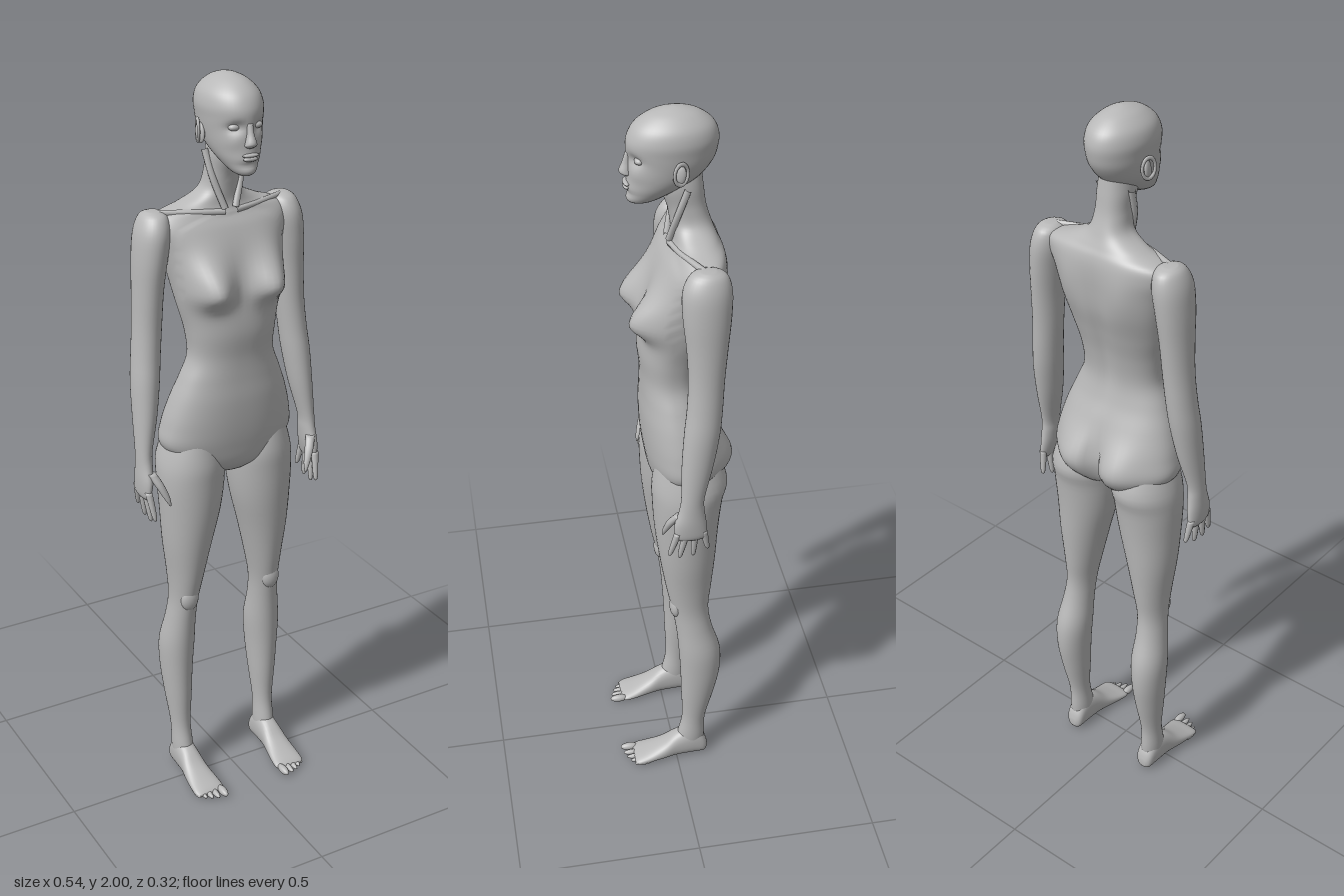
import * as THREE from 'three';

// Catmull-Rom blend of whole rows of numbers, so few rings give a smooth loft
function smoothRings(rows, steps) {
  const out = [];
  const row = i => rows[Math.min(rows.length - 1, Math.max(0, i))];
  for (let i = 0; i < rows.length - 1; i++) {
    for (let s = 0; s < steps; s++) {
      const t = s / steps, a = row(i - 1), b = row(i), c = row(i + 1), d = row(i + 2);
      out.push(b.map((v, k) => v + 0.5 * t * (c[k] - a[k] + t * (2 * a[k] - 5 * v + 4 * c[k] - d[k]
        + t * (3 * (v - c[k]) + d[k] - a[k])))));
    }
  }
  out.push(rows[rows.length - 1]);
  return out;
}

// Ring: [t, xInner, xOuter, bMax, bMin]. Upright: t = y, b = z. Along: t = z, b = y.
function loft(rows, { side = 1, along = false, segs = 32, steps = 4, round = 1, shape = null } = {}) {
  const rings = smoothRings(rows, steps), pos = [], idx = [];
  const put = (x, t, b) => {
    const p = along ? new THREE.Vector3(x, b, t) : new THREE.Vector3(x, t, b);
    if (shape) shape(p);
    pos.push(p.x * side, p.y, p.z);
  };
  const soft = v => Math.sign(v) * Math.pow(Math.abs(v), round);
  for (const [t, x0, x1, b1, b0] of rings) {
    for (let j = 0; j < segs; j++) {
      const a = j / segs * Math.PI * 2;
      put((x0 + x1) / 2 + soft(Math.cos(a)) * (x1 - x0) / 2, t, (b0 + b1) / 2 + soft(Math.sin(a)) * (b1 - b0) / 2);
    }
  }
  const rising = rows[rows.length - 1][0] > rows[0][0];
  const flip = (side < 0) !== along !== !rising;
  const tri = (a, b, c) => flip ? idx.push(a, c, b) : idx.push(a, b, c);
  const n = rings.length;
  for (let i = 0; i < n - 1; i++) {
    for (let j = 0; j < segs; j++) {
      const p = i * segs + j, q = i * segs + (j + 1) % segs;
      tri(p, p + segs, q);
      tri(q, p + segs, q + segs);
    }
  }
  // closed ends
  for (const i of [0, n - 1]) {
    const [t, x0, x1, b1, b0] = rings[i], c = pos.length / 3;
    put((x0 + x1) / 2, t, (b0 + b1) / 2);
    for (let j = 0; j < segs; j++) {
      const p = i * segs + j, q = i * segs + (j + 1) % segs;
      if (i === 0) tri(c, p, q); else tri(c, q, p);
    }
  }
  const g = new THREE.BufferGeometry();
  g.setAttribute('position', new THREE.Float32BufferAttribute(pos, 3));
  g.setIndex(idx);
  g.computeVertexNormals();
  return g;
}

const bump = (dx, sx, dy, sy) => Math.exp(-((dx / sx) ** 2) - (dy / sy) ** 2);
const centred = rows => rows.map(([y, r, f, b]) => [y, -r, r, f, b]);

export function createModel() {
  const model = new THREE.Group();
  const skin = new THREE.MeshStandardMaterial({ color: 0xb8b8b8 });
  skin.name = 'grey skin';
  const add = (name, geo, parent = model) => {
    const m = new THREE.Mesh(geo, skin);
    m.name = name;
    parent.add(m);
    return m;
  };
  const ball = (name, x, y, z, rx, ry, rz, parent) => {
    const m = add(name, new THREE.SphereGeometry(1, 20, 14), parent);
    m.position.set(x, y, z);
    m.scale.set(rx, ry, rz);
    return m;
  };
  const tube = (name, pts, r, parent) =>
    add(name, new THREE.TubeGeometry(new THREE.CatmullRomCurve3(pts.map(p => new THREE.Vector3(...p))), 16, r, 8), parent);

  // torso and neck: half width, front, back
  add('torso', loft(centred([
    [0.955, 0.05, 0.025, -0.06], [0.985, 0.125, 0.052, -0.105], [1.04, 0.184, 0.064, -0.128],
    [1.1, 0.182, 0.071, -0.122], [1.17, 0.163, 0.074, -0.105], [1.23, 0.14, 0.072, -0.085],
    [1.29, 0.118, 0.072, -0.076], [1.36, 0.124, 0.078, -0.085], [1.43, 0.14, 0.072, -0.103],
    [1.5, 0.154, 0.058, -0.122], [1.57, 0.17, 0.04, -0.13], [1.62, 0.185, 0.02, -0.132],
    [1.652, 0.175, 0.0, -0.128], [1.675, 0.11, -0.008, -0.118], [1.705, 0.056, -0.006, -0.106],
    [1.75, 0.043, 0.003, -0.092], [1.8, 0.043, 0.02, -0.085], [1.84, 0.038, 0.02, -0.08],
  ]), {
    segs: 64, steps: 6, round: 0.88, shape: p => {
      const x = Math.abs(p.x);
      if (p.z > 0) { // breasts, fuller below
        p.z += 0.058 * bump(x - 0.085, 0.052, p.y - 1.475, p.y < 1.475 ? 0.04 : 0.075);
      } else { // buttocks, cleft, spine and shoulder blades
        p.z -= 0.034 * bump(x - 0.075, 0.065, p.y - 1.055, 0.075);
        p.z += 0.025 * bump(x, 0.016, p.y - 1.04, 0.08);
        p.z += 0.012 * bump(x, 0.022, p.y - 1.4, 0.2);
        p.z -= 0.008 * bump(x - 0.085, 0.04, p.y - 1.56, 0.07);
      }
    },
  }));

  // head with eye sockets and cheeks shaped in
  const head = new THREE.Group();
  head.name = 'head';
  model.add(head);
  add('skull', loft(centred([
    [1.766, 0.014, 0.088, 0.055], [1.776, 0.03, 0.1, 0.02], [1.805, 0.05, 0.101, -0.035],
    [1.835, 0.063, 0.098, -0.08], [1.87, 0.071, 0.097, -0.108], [1.9, 0.075, 0.1, -0.118],
    [1.93, 0.077, 0.098, -0.12], [1.96, 0.068, 0.082, -0.108], [1.984, 0.044, 0.05, -0.078],
    [1.996, 0.02, 0.015, -0.045], [2.0, 0.002, -0.012, -0.018],
  ]), {
    segs: 48, steps: 5, shape: p => {
      if (p.z < 0.03) return;
      const x = Math.abs(p.x);
      p.z -= 0.014 * bump(x - 0.031, 0.018, p.y - 1.885, 0.014);
      p.z += 0.004 * bump(x - 0.042, 0.018, p.y - 1.85, 0.018);
      p.z -= 0.006 * bump(x, 0.03, p.y - 1.794, 0.008);
    },
  }), head);
  add('nose', loft(centred([
    [1.836, 0.008, 0.102, 0.085], [1.842, 0.015, 0.112, 0.085], [1.85, 0.014, 0.117, 0.085],
    [1.87, 0.009, 0.109, 0.085], [1.895, 0.008, 0.101, 0.085],
  ]), { segs: 16 }), head);
  ball('upperLip', 0, 1.819, 0.1, 0.023, 0.005, 0.008, head);
  ball('lowerLip', 0, 1.81, 0.1, 0.02, 0.006, 0.008, head);

  for (const s of [1, -1]) {
    const label = s > 0 ? 'left' : 'right';
    const group = name => {
      const g = new THREE.Group();
      g.name = label + name;
      model.add(g);
      return g;
    };

    // face and neck details
    ball(label + 'Eye', s * 0.031, 1.885, 0.073, 0.015, 0.009, 0.012, head);
    const ear = group('Ear');
    ball('earLobe', s * 0.076, 1.86, -0.014, 0.007, 0.026, 0.015, ear).rotation.set(-0.2, s * -0.3, 0);
    const rim = add('earRim', new THREE.TorusGeometry(0.018, 0.004, 8, 20), ear);
    rim.position.set(s * 0.081, 1.866, -0.017);
    rim.scale.y = 1.45;
    rim.rotation.y = s * (Math.PI / 2 + 0.35);
    tube(label + 'NeckMuscle', [[s * 0.05, 1.81, -0.04], [s * 0.039, 1.74, -0.018], [s * 0.015, 1.665, 0.0]], 0.009);
    tube(label + 'Collarbone', [[s * 0.015, 1.657, 0.0], [s * 0.09, 1.66, -0.02], [s * 0.175, 1.662, -0.055]], 0.008);

    // arm and hand
    const arm = group('Arm');
    add('arm', loft([
      [1.668, 0.168, 0.2, -0.045, -0.08], [1.655, 0.15, 0.218, -0.018, -0.108], [1.615, 0.145, 0.234, 0.0, -0.12],
      [1.55, 0.155, 0.241, 0.0, -0.118], [1.47, 0.166, 0.244, -0.008, -0.11], [1.38, 0.173, 0.248, -0.012, -0.102],
      [1.3, 0.181, 0.255, -0.008, -0.097], [1.23, 0.189, 0.262, 0.0, -0.09], [1.14, 0.204, 0.265, 0.007, -0.073],
      [1.05, 0.225, 0.267, 0.01, -0.05], [1.01, 0.228, 0.268, 0.016, -0.05], [0.97, 0.232, 0.269, 0.028, -0.055],
      [0.935, 0.24, 0.267, 0.026, -0.056], [0.922, 0.246, 0.262, 0.018, -0.048],
    ], { side: s }), arm);
    const tips = [[0.04, 0.868], [0.014, 0.857], [-0.022, 0.86], [-0.06, 0.878]];
    tips.forEach(([z, y], i) => {
      const z0 = 0.019 - i * 0.022;
      const r = (t, w) => [0.945 + (y - 0.945) * t, 0.254 - 0.008 * t - w, 0.254 - 0.008 * t + w, z0 + (z - z0) * t + w, z0 + (z - z0) * t - w];
      add('finger', loft([r(0, 0.01), r(0.5, 0.0085), r(0.9, 0.006), r(1, 0.002)], { side: s, segs: 10 }), arm);
    });
    add('thumb', loft([
      [0.995, 0.23, 0.255, 0.026, 0.0], [0.965, 0.216, 0.24, 0.043, 0.019],
      [0.93, 0.205, 0.222, 0.052, 0.036], [0.908, 0.204, 0.209, 0.053, 0.048],
    ], { side: s, segs: 12 }), arm);

    // leg
    const leg = group('Leg');
    add('leg', loft([
      [1.08, 0.04, 0.165, 0.045, -0.11], [1.0, 0.012, 0.19, 0.06, -0.138], [0.94, 0.012, 0.195, 0.06, -0.126],
      [0.85, 0.025, 0.19, 0.055, -0.116], [0.75, 0.05, 0.183, 0.043, -0.108], [0.65, 0.073, 0.171, 0.027, -0.098],
      [0.57, 0.088, 0.166, 0.011, -0.09], [0.5, 0.091, 0.173, 0.0, -0.1], [0.42, 0.089, 0.184, -0.007, -0.123],
      [0.34, 0.094, 0.182, -0.012, -0.124], [0.25, 0.1, 0.174, -0.015, -0.108], [0.15, 0.108, 0.163, -0.018, -0.085],
      [0.08, 0.106, 0.163, -0.005, -0.084], [0.03, 0.108, 0.16, 0.0, -0.08],
    ], { side: s, segs: 40 }), leg);
    ball('kneecap', s * 0.128, 0.58, 0.0, 0.026, 0.036, 0.018, leg);

    // foot and toes
    add('foot', loft([
      [-0.092, 0.124, 0.144, 0.035, 0.014], [-0.082, 0.109, 0.158, 0.065, 0.002], [-0.05, 0.105, 0.163, 0.1, 0],
      [0.0, 0.103, 0.165, 0.084, 0], [0.04, 0.097, 0.171, 0.054, 0], [0.08, 0.09, 0.175, 0.034, 0],
      [0.112, 0.088, 0.175, 0.022, 0], [0.125, 0.096, 0.168, 0.014, 0.004],
    ], { side: s, along: true, round: 0.85 }), leg);
    [[0.1, 0.16, 0.011], [0.121, 0.154, 0.008], [0.138, 0.147, 0.0075], [0.153, 0.138, 0.007], [0.167, 0.128, 0.007]]
      .forEach(([x, z, r]) => ball('toe', s * x, r, z - 0.026, r, r, 0.026, leg));
  }
  return model;
}
